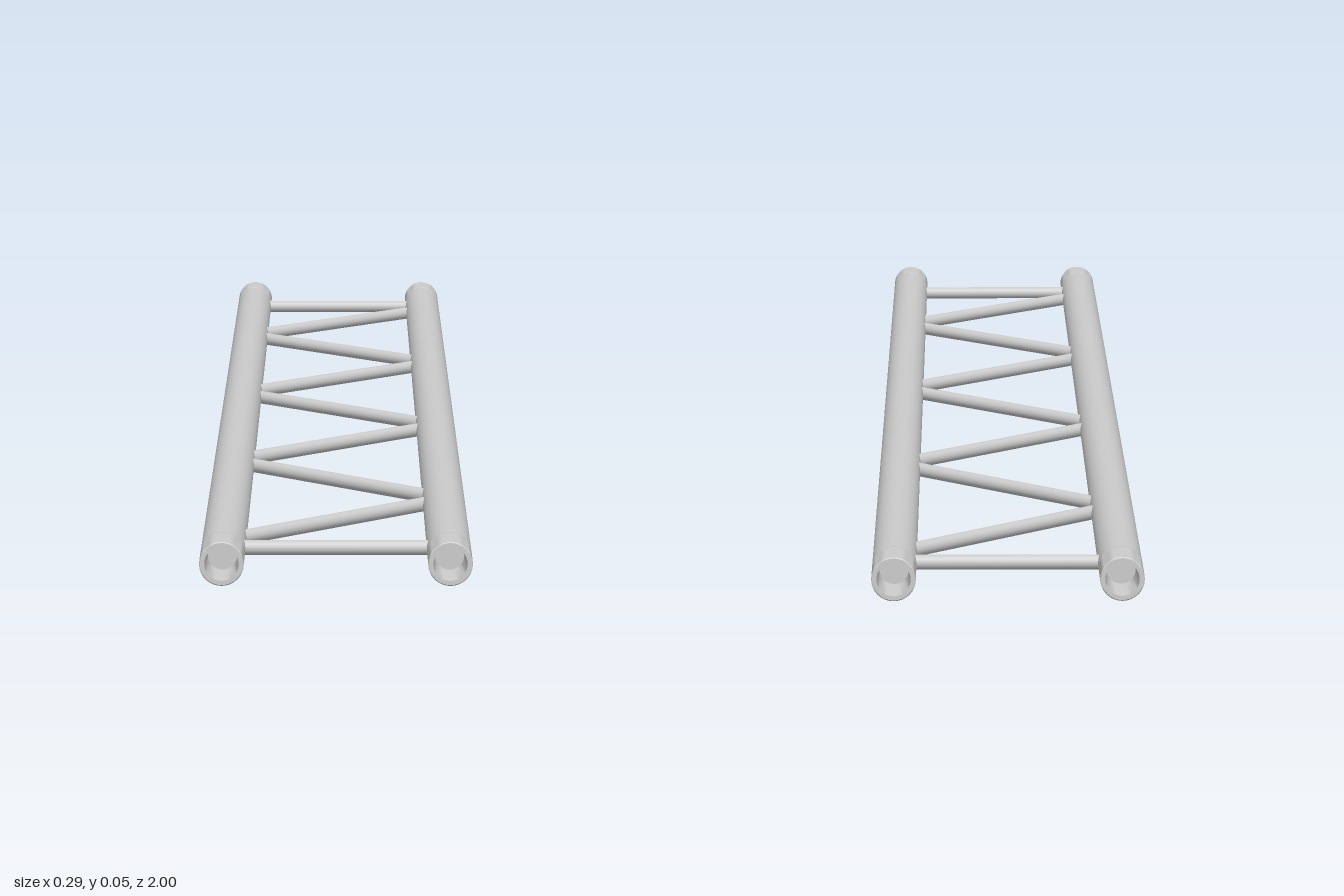
import * as THREE from 'three';
import { toCreasedNormals } from 'three/addons/utils/BufferGeometryUtils.js';

const CHORD_X = 0.12, CHORD_R = 0.0235, SLEEVE = 0.055, BRACE_R = 0.008;
const material = new THREE.MeshStandardMaterial({ color: 0xcccccc });

function addMesh(parent, geometry, name) {
  const mesh = new THREE.Mesh(geometry, material);
  mesh.name = name;
  parent.add(mesh);
  return mesh;
}

// Round bar between two points
function addBar(parent, a, b, radius, name) {
  const dir = b.clone().sub(a);
  const mesh = addMesh(parent, new THREE.CylinderGeometry(radius, radius, dir.length(), 20), name);
  mesh.position.copy(a).add(b).multiplyScalar(0.5);
  mesh.quaternion.setFromUnitVectors(new THREE.Vector3(0, 1, 0), dir.normalize());
  return mesh;
}

// End coupler with a tapered blind socket; its mouth faces +y before rotation
function sleeveGeometry() {
  const profile = [
    [CHORD_R - 0.002, 0], [CHORD_R, 0.001], [CHORD_R, SLEEVE - 0.001],
    [CHORD_R - 0.001, SLEEVE], [0.018, SLEEVE], [0.0155, 0.006], [0, 0.006],
  ].map(([r, y]) => new THREE.Vector2(r, y));
  return toCreasedNormals(new THREE.LatheGeometry(profile, 32), 0.5);
}

export function createModel() {
  const truss = new THREE.Group();
  truss.name = 'ladderTruss';
  const sleeve = sleeveGeometry();

  // Two main chords with a coupler at each end
  for (const side of [1, -1]) {
    const chord = new THREE.Group();
    chord.name = side > 0 ? 'leftChord' : 'rightChord';
    chord.position.set(side * CHORD_X, CHORD_R, 0);
    const tube = addMesh(chord, new THREE.CylinderGeometry(CHORD_R, CHORD_R, 2 * (1 - SLEEVE) - 0.002, 32), 'chordTube');
    tube.rotation.x = Math.PI / 2;
    for (const end of [1, -1]) {
      const coupler = addMesh(chord, sleeve, end > 0 ? 'frontCoupler' : 'backCoupler');
      coupler.rotation.x = end * Math.PI / 2;
      coupler.position.z = end * (1 - SLEEVE);
    }
    truss.add(chord);
  }

  // Straight cross bars near the ends
  for (const z of [0.908, -0.914]) {
    addBar(truss, new THREE.Vector3(-CHORD_X, CHORD_R, z), new THREE.Vector3(CHORD_X, CHORD_R, z),
      BRACE_R, z > 0 ? 'frontCrossBar' : 'backCrossBar');
  }

  // Zigzag of 45 degree diagonals
  for (let i = 0; i < 7; i++) {
    const z = 0.75 - 0.25 * i;
    const x = i % 2 ? CHORD_X : -CHORD_X;
    addBar(truss, new THREE.Vector3(x, CHORD_R, z + CHORD_X), new THREE.Vector3(-x, CHORD_R, z - CHORD_X),
      BRACE_R, 'diagonalBrace');
  }
  return truss;
}
